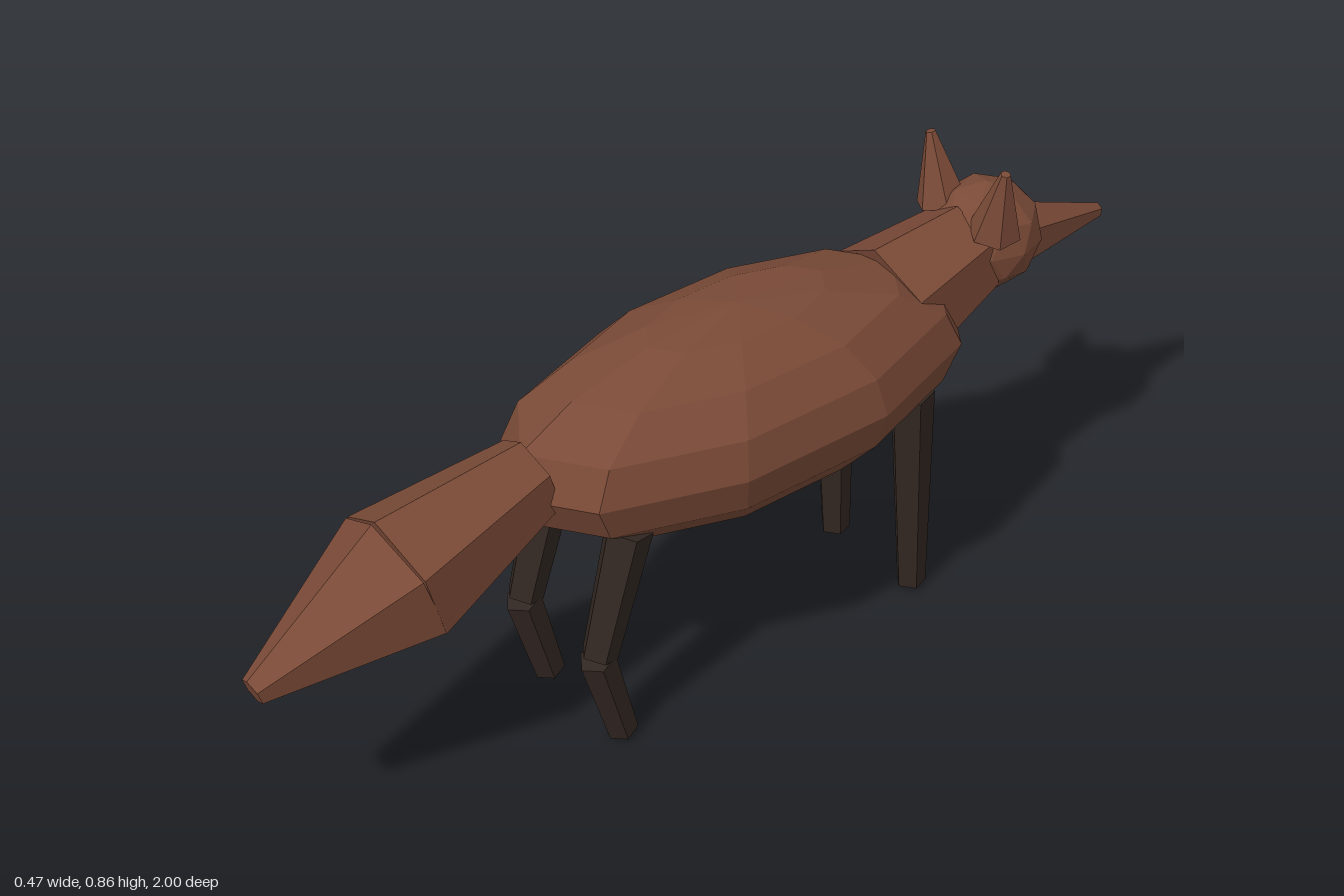
import * as THREE from 'three';

const fur = new THREE.MeshStandardMaterial({ color: 0x7a4a37, flatShading: true });
const dark = new THREE.MeshStandardMaterial({ color: 0x322722, flatShading: true });

export function createModel() {
  const model = new THREE.Group();

  function add(name, geometry, material) {
    const mesh = new THREE.Mesh(geometry, material);
    mesh.name = name;
    model.add(mesh);
    return mesh;
  }

  // Tapered low-poly tube running from point a (radius ra) to point b (radius rb)
  function taper(name, a, b, ra, rb, sides, material) {
    const start = new THREE.Vector3(...a);
    const axis = new THREE.Vector3(...b).sub(start);
    const length = axis.length();
    const mesh = add(name, new THREE.CylinderGeometry(rb, ra, length, sides), material);
    mesh.position.copy(start).addScaledVector(axis, 0.5);
    mesh.quaternion.setFromUnitVectors(new THREE.Vector3(0, 1, 0), axis.normalize());
  }

  // Body: ten-sided ellipsoid with corners on the long axis
  const body = new THREE.SphereGeometry(1, 10, 8);
  body.rotateY(Math.PI / 2);
  body.scale(0.249, 0.195, 0.53);
  add('body', body, fur).position.set(0, 0.557, -0.075);

  // Neck, head and snout, pointing to -z
  taper('neck', [0, 0.6, -0.44], [0, 0.65, -0.64], 0.135, 0.1, 6, fur);

  const head = new THREE.IcosahedronGeometry(0.112, 1);
  head.rotateX(-Math.atan((1 + Math.sqrt(5)) / 2)); // one corner straight up
  head.rotateY(Math.PI);
  add('head', head, fur).position.set(0, 0.664, -0.69);

  taper('snout', [0, 0.63, -0.77], [0, 0.594, -0.998], 0.066, 0.015, 6, fur);

  // Tail: widening root, then narrowing tip
  taper('tailRoot', [0, 0.58, 0.39], [0, 0.496, 0.685], 0.08, 0.137, 6, fur);
  taper('tailTip', [0, 0.496, 0.685], [0, 0.392, 0.99], 0.137, 0.028, 6, fur);

  // Ears and legs, mirrored
  for (const [side, s] of [['left', 1], ['right', -1]]) {
    taper(side + 'Ear', [s * 0.073, 0.715, -0.645], [s * 0.104, 0.858, -0.635], 0.052, 0.01, 6, fur);
    const x = s * 0.114;
    taper(side + 'FrontLeg', [x, 0.012, -0.43], [x, 0.47, -0.41], 0.03, 0.045, 5, dark);
    taper(side + 'HindShin', [x, 0.01, 0.287], [x, 0.206, 0.343], 0.03, 0.036, 5, dark);
    taper(side + 'HindThigh', [x, 0.212, 0.338], [x, 0.465, 0.267], 0.036, 0.047, 5, dark);
  }

  return model;
}
